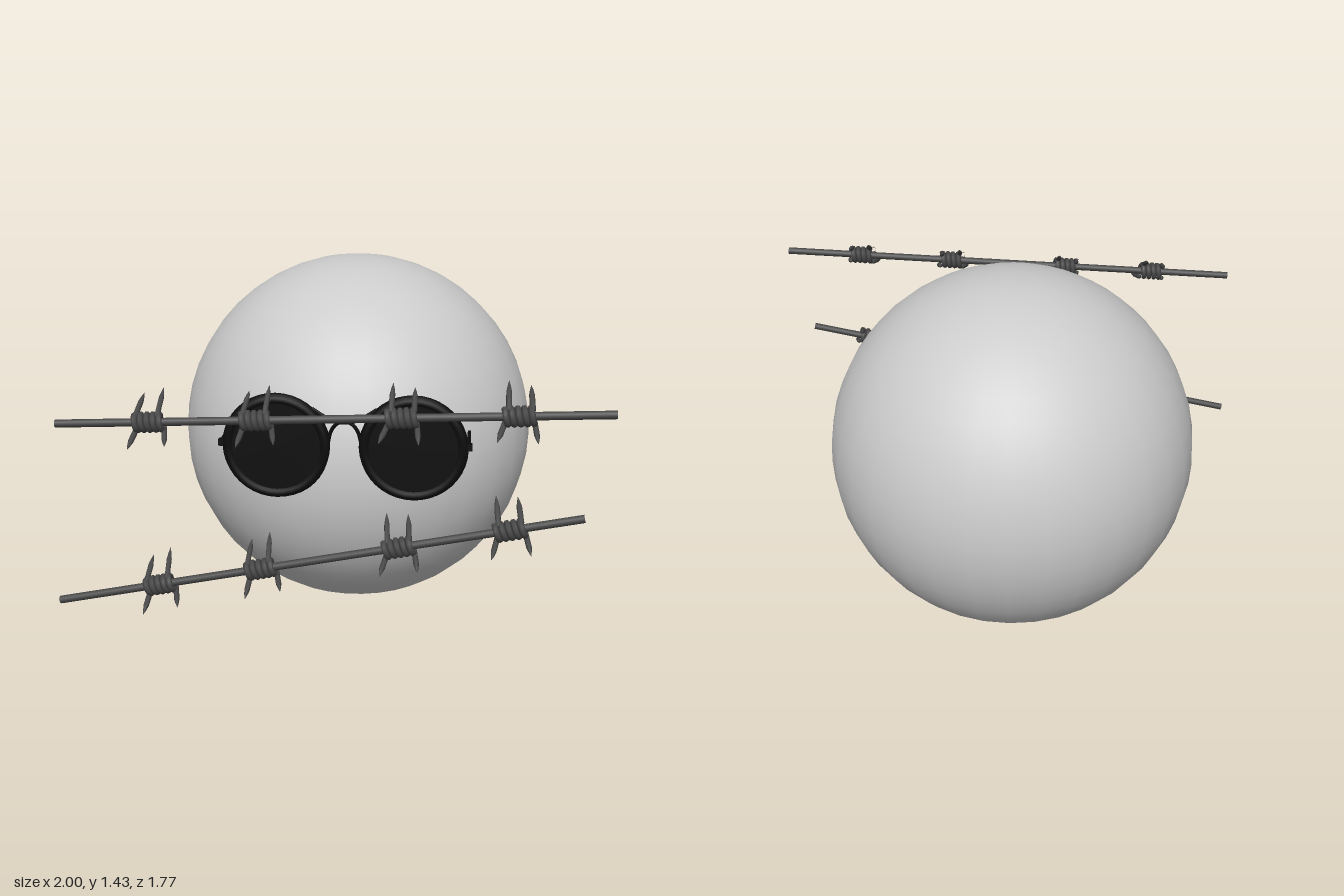
import * as THREE from 'three';

const V = (x, y, z) => new THREE.Vector3(x, y, z);
const grey = new THREE.MeshStandardMaterial({ color: 0xcccccc });
const black = new THREE.MeshStandardMaterial({ color: 0x0b0b0b });
const steel = new THREE.MeshStandardMaterial({ color: 0x484848 });

function add(parent, name, geometry, material) {
  const mesh = new THREE.Mesh(geometry, material);
  mesh.name = name;
  parent.add(mesh);
  return mesh;
}

const tube = (points, radius, segments = 24, sides = 8) =>
  new THREE.TubeGeometry(new THREE.CatmullRomCurve3(points), segments, radius, sides);

// Pointed rod from a to b
function spike(parent, a, b) {
  const length = a.distanceTo(b);
  const profile = [[0, 0], [0.01, 0], [0.01, length * 0.6], [0.006, length * 0.8], [0, length]];
  const mesh = add(parent, 'spike', new THREE.LatheGeometry(profile.map(p => new THREE.Vector2(...p)), 8), steel);
  mesh.position.copy(a);
  mesh.quaternion.setFromUnitVectors(V(0, 1, 0), b.clone().sub(a).normalize());
}

// Coil wound round the wire with four slanted spikes; flip mirrors it along the wire
function makeBarb(flip) {
  const barb = new THREE.Group();
  barb.name = 'barb';
  const coil = [];
  for (let i = 0; i <= 54; i++) {
    const a = i / 12 * Math.PI * 2;
    coil.push(V((i / 54 - 0.5) * 0.1, 0.027 * Math.cos(a), 0.027 * Math.sin(a)));
  }
  add(barb, 'coil', tube(coil, 0.0115, 110, 7), steel);
  const ends = [
    [-0.045, 0.025, 0.012, -0.04, 0.075, -0.115],
    [-0.05, -0.025, -0.012, -0.062, -0.07, 0.09],
    [0.035, 0.025, 0.012, 0.035, 0.095, -0.11],
    [0.05, -0.025, -0.012, 0.075, -0.06, 0.095],
  ];
  for (const [x, y, z, u, v, w] of ends) spike(barb, V(x * flip, y, z), V(u * flip, v, w));
  return barb;
}

// Straight wire carrying barbs at the given x positions
function makeBarbedWire(name, a, b, stations) {
  const group = new THREE.Group();
  group.name = name;
  add(group, 'wire', new THREE.TubeGeometry(new THREE.LineCurve3(a, b), 1, 0.0145, 10), steel);
  for (const end of [a, b]) {
    const cap = add(group, 'wireEnd', new THREE.CircleGeometry(0.0145, 10), steel);
    cap.position.copy(end);
    cap.rotation.y = end === a ? -Math.PI / 2 : Math.PI / 2;
  }
  const direction = b.clone().sub(a).normalize();
  stations.forEach((x, i) => {
    const barb = makeBarb(i < 2 ? 1 : -1);
    barb.position.lerpVectors(a, b, (x - a.x) / (b.x - a.x));
    barb.quaternion.setFromUnitVectors(V(1, 0, 0), direction);
    group.add(barb);
  });
  return group;
}

// Round sunglasses, slightly turned and tilted on the ball
function makeGlasses() {
  const glasses = new THREE.Group();
  glasses.name = 'sunglasses';
  for (const s of [-1, 1]) {
    const lens = add(glasses, 'lens', new THREE.CylinderGeometry(0.19, 0.19, 0.03, 40), black);
    lens.rotation.x = Math.PI / 2;
    lens.position.x = s * 0.254;
    const rim = add(glasses, 'rim', new THREE.TorusGeometry(0.18, 0.022, 10, 40), black);
    rim.position.x = s * 0.254;
    const hinge = add(glasses, 'hinge', new THREE.BoxGeometry(0.03, 0.025, 0.025), black);
    hinge.position.set(s * 0.455, 0.01, 0);
    const temple = add(glasses, 'temple', new THREE.BoxGeometry(0.012, 0.025, 0.17), black);
    temple.position.set(s * 0.457, 0.01, -0.085);
    // Nose pad on a bent wire
    add(glasses, 'padArm', tube([V(s * 0.075, 0.0, 0), V(s * 0.055, -0.03, -0.01), V(s * 0.045, -0.035, -0.02)], 0.005, 10), black);
    const pad = add(glasses, 'nosePad', new THREE.SphereGeometry(0.014, 12, 8), black);
    pad.scale.set(0.5, 1, 0.7);
    pad.position.set(s * 0.043, -0.035, -0.02);
  }
  add(glasses, 'browBar', tube([V(-0.12, 0.145, 0), V(-0.07, 0.115, 0.005), V(-0.03, 0.098, 0.008),
    V(0.03, 0.098, 0.008), V(0.07, 0.115, 0.005), V(0.12, 0.145, 0)], 0.007), black);
  add(glasses, 'bridge', tube([V(-0.06, 0.02, 0), V(-0.05, 0.06, 0.004), V(-0.028, 0.09, 0.008),
    V(0, 0.1, 0.01), V(0.028, 0.09, 0.008), V(0.05, 0.06, 0.004), V(0.06, 0.02, 0)], 0.007), black);
  glasses.position.set(0.037, 0.874, 0.523);
  glasses.rotation.set(-0.05, 0.06, 0.012);
  return glasses;
}

export function createModel() {
  const model = new THREE.Group();
  model.name = 'ballBehindBarbedWire';
  const ball = add(model, 'ball', new THREE.SphereGeometry(0.717, 32, 24), grey);
  ball.position.set(-0.016, 0.722, -0.17);
  model.add(makeGlasses());
  model.add(makeBarbedWire('upperBarbedWire', V(-0.965, 1.005, 0.79), V(1, 1.125, 0.75), [-0.62, -0.235, 0.275, 0.675]));
  model.add(makeBarbedWire('lowerBarbedWire', V(-1, 0.305, 0.795), V(0.915, 0.743, 0.755), [-0.61, -0.23, 0.27, 0.66]));
  return model;
}
